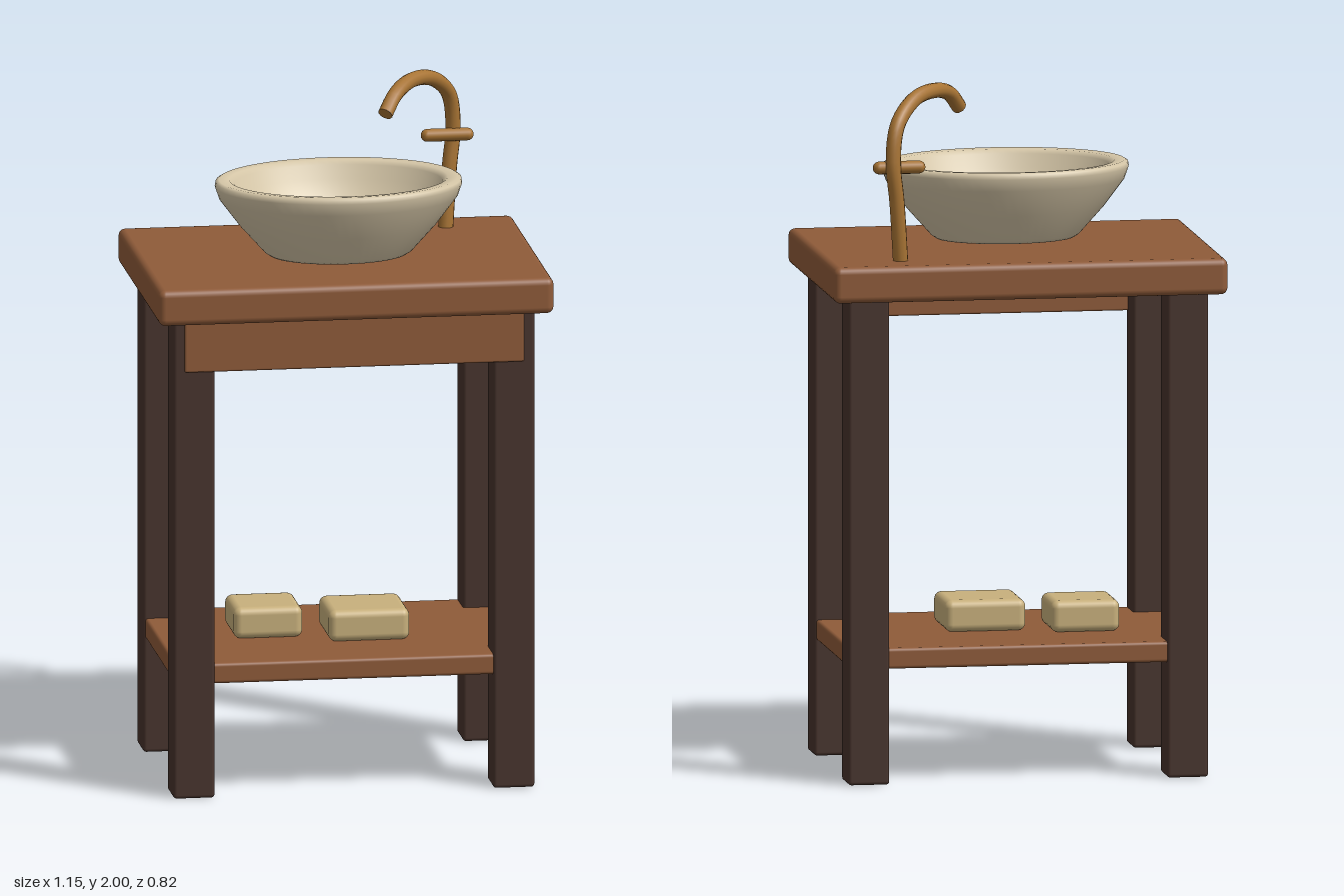
import * as THREE from 'three';
import { RoundedBoxGeometry } from 'three/addons/geometries/RoundedBoxGeometry.js';

const material = (name, color) => {
  const m = new THREE.MeshStandardMaterial({ color });
  m.name = name;
  return m;
};

export function createModel() {
  const wood = material('warm wood', 0x8f5b39);
  const darkWood = material('dark wood', 0x47332c);
  const ceramic = material('cream ceramic', 0xd6c7a8);
  const water = material('teal water', 0x5c9c9c);
  const brass = material('brass', 0xa87434);
  const cloth = material('towel cloth', 0xc8b07c);

  const model = new THREE.Group();
  model.name = 'washstand';

  const add = (name, geometry, mat, x = 0, y = 0, z = 0) => {
    const mesh = new THREE.Mesh(geometry, mat);
    mesh.name = name;
    mesh.position.set(x, y, z);
    model.add(mesh);
    return mesh;
  };
  const box = (name, mat, w, h, d, x, y, z, r) =>
    add(name, new RoundedBoxGeometry(w, h, d, 3, r), mat, x, y, z);
  const lathe = (profile) =>
    new THREE.LatheGeometry(profile.map(([r, y]) => new THREE.Vector2(r, y)), 64);

  // Table: top, front apron, legs and lower shelf
  box('tableTop', wood, 1.146, 0.105, 0.82, 0, 1.4575, 0, 0.02);
  box('frontApron', wood, 0.985, 0.155, 0.04, 0, 1.335, 0.345, 0.006);
  for (const [side, sx] of [['Left', 1], ['Right', -1]]) {
    for (const [end, sz] of [['front', 1], ['back', -1]]) {
      box(`${end}${side}Leg`, darkWood, 0.12, 1.41, 0.12, sx * 0.464, 0.705, sz * 0.297, 0.01);
    }
  }
  box('shelf', wood, 1.036, 0.06, 0.704, 0, 0.365, 0, 0.01);

  // Folded towels on the shelf
  box('smallTowel', cloth, 0.2, 0.092, 0.2, -0.205, 0.441, -0.033, 0.022);
  box('largeTowel', cloth, 0.235, 0.092, 0.22, 0.077, 0.441, 0.033, 0.022);

  // Oval basin: outside wall, rolled rim, then inside wall and floor
  const basin = add('basin', lathe([
    [0, 1.522], [0.2, 1.522], [0.215, 1.532], [0.285, 1.61], [0.345, 1.69],
    [0.357, 1.725], [0.355, 1.738], [0.345, 1.744], [0.315, 1.742], [0.3, 1.73],
    [0.285, 1.69], [0.245, 1.64], [0.19, 1.585], [0.16, 1.57], [0, 1.565],
  ]), ceramic, 0, 0, 0.048);
  basin.scale.z = 0.74;
  const pool = add('water', lathe([[0.193, 1.58], [0.193, 1.6], [0, 1.604]]), water, 0, 0, 0.048);
  pool.scale.z = 0.74;

  // Curved spout with closed ends
  const path = new THREE.CatmullRomCurve3([
    [0.36, 1.5, -0.284], [0.373, 1.68, -0.298], [0.385, 1.8, -0.305],
    [0.37, 1.9, -0.285], [0.31, 1.965, -0.215], [0.24, 1.979, -0.14],
    [0.18, 1.957, -0.058], [0.145, 1.912, -0.012],
  ].map((p) => new THREE.Vector3(...p)));
  add('spout', new THREE.TubeGeometry(path, 40, 0.022, 12), brass);
  const cap = add('spoutTip', new THREE.CircleGeometry(0.022, 12), brass);
  cap.position.copy(path.getPoint(1));
  cap.lookAt(path.getPoint(1).add(path.getTangent(1)));

  // Tap handle across the spout
  const handle = add('tapHandle', new THREE.CapsuleGeometry(0.019, 0.115, 4, 12), brass, 0.365, 1.78, -0.286);
  handle.rotation.z = Math.PI / 2;

  return model;
}
